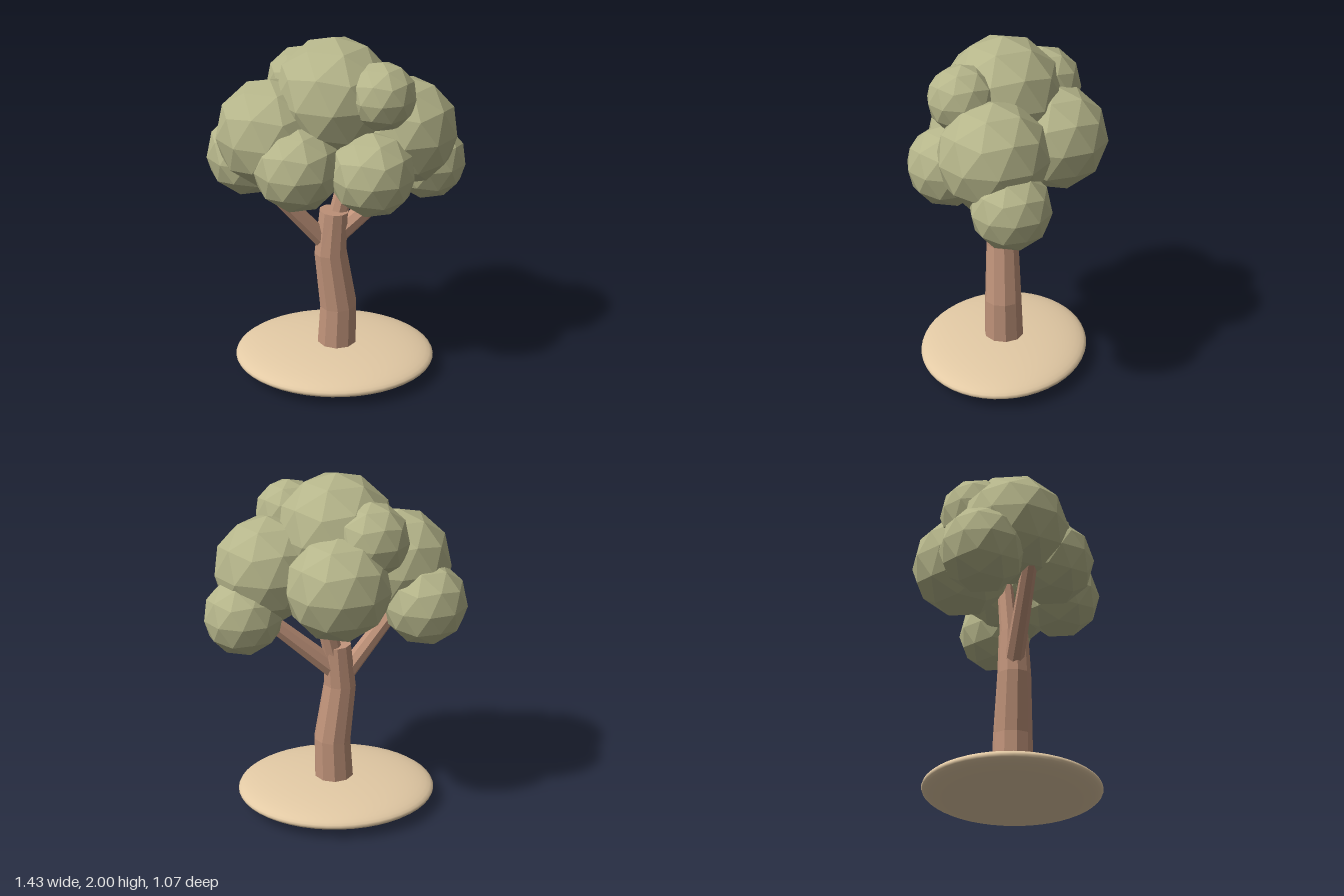
import * as THREE from 'three';

const mat = (color, flatShading = true) => {
  const m = new THREE.MeshStandardMaterial({ color });
  m.flatShading = flatShading;
  return m;
};

// Faceted limb through rings of [x, y, z, radius], listed bottom to top
function limb(name, rings, sides, material) {
  const n = rings.length - 1;
  const geo = new THREE.CylinderGeometry(1, 1, 1, sides, n);
  const pos = geo.attributes.position;
  const up = new THREE.Vector3(0, 1, 0);
  const at = (i) => new THREE.Vector3(...rings[Math.min(n, Math.max(0, i))].slice(0, 3));
  const v = new THREE.Vector3();
  for (let i = 0; i < pos.count; i++) {
    v.fromBufferAttribute(pos, i);
    const row = Math.round((v.y + 0.5) * n);
    const dir = at(row + 1).sub(at(row - 1)).normalize();
    const turn = new THREE.Quaternion().setFromUnitVectors(up, dir);
    v.setY(0).multiplyScalar(rings[row][3]).applyQuaternion(turn).add(at(row));
    pos.setXYZ(i, v.x, v.y, v.z);
  }
  geo.computeVertexNormals();
  const mesh = new THREE.Mesh(geo, material);
  mesh.name = name;
  return mesh;
}

export function createModel() {
  const tree = new THREE.Group();
  tree.name = 'tree';
  const bark = mat(0xc0937a);
  const leaf = mat(0xb5b58a);

  // Smooth flattened mound of soil
  const ground = new THREE.Mesh(new THREE.SphereGeometry(1, 48, 24), mat(0xe3caa5, false));
  ground.name = 'groundMound';
  ground.scale.set(0.575, 0.085, 0.483);
  ground.position.set(-0.015, 0.09, 0.042);
  tree.add(ground);

  // Bent, tapering trunk and its three branches
  tree.add(
    limb('trunk', [
      [-0.005, 0.08, 0.04, 0.118],
      [0.007, 0.41, 0.042, 0.108],
      [-0.037, 0.75, 0.055, 0.094],
      [-0.018, 1.0, 0.05, 0.083],
    ], 10, bark),
    limb('rightBranch', [[-0.05, 0.79, 0.05, 0.055], [-0.42, 1.25, 0.18, 0.042]], 8, bark),
    limb('leftBranch', [[0.0, 0.85, 0.04, 0.06], [0.42, 1.23, -0.02, 0.045]], 8, bark),
    limb('centreBranch', [[0.0, 0.94, 0.03, 0.055], [0.1, 1.38, -0.01, 0.045]], 8, bark),
  );

  // Faceted foliage ball, turned so that one corner points straight up
  const ball = new THREE.IcosahedronGeometry(1, 1);
  ball.rotateZ(-Math.atan(2 / (1 + Math.sqrt(5))));
  const clumps = [
    ['crown', -0.015, 1.67, 0.045, 0.33],
    ['rightUpper', -0.358, 1.473, 0.09, 0.304],
    ['leftUpper', 0.36, 1.47, 0.015, 0.303],
    ['frontRight', -0.205, 1.345, 0.28, 0.238],
    ['frontLeft', 0.195, 1.325, 0.3, 0.232],
    ['frontTop', 0.24, 1.73, 0.21, 0.187],
    ['rightLower', -0.498, 1.29, -0.07, 0.237],
    ['leftLower', 0.5, 1.247, -0.108, 0.22],
    ['back', -0.012, 1.45, -0.247, 0.29],
    ['backTop', -0.19, 1.68, -0.142, 0.212],
  ];
  const foliage = new THREE.Group();
  foliage.name = 'foliage';
  for (const [name, x, y, z, r] of clumps) {
    const clump = new THREE.Mesh(ball, leaf);
    clump.name = name + 'Foliage';
    clump.position.set(x, y, z);
    clump.scale.setScalar(r);
    foliage.add(clump);
  }
  tree.add(foliage);
  return tree;
}
